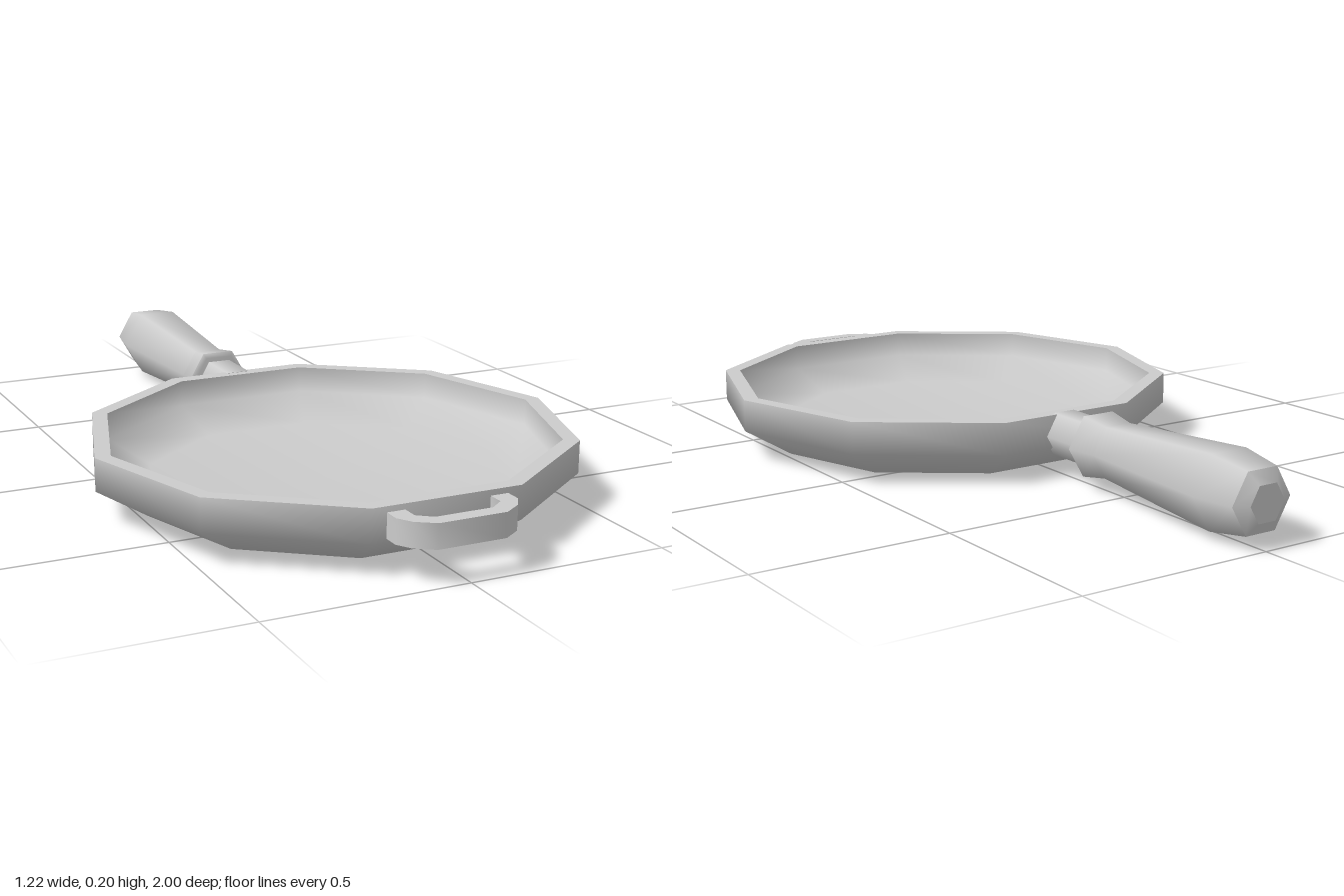
import * as THREE from 'three';
import { mergeGeometries, toCreasedNormals } from 'three/addons/utils/BufferGeometryUtils.js';

const material = new THREE.MeshStandardMaterial({ color: 0xcccccc });

// Faceted turned body: each profile is smooth within itself, with a sharp edge to the next one
function turned(name, sides, profiles) {
  const bands = profiles.map((profile) => new THREE.LatheGeometry(
    profile.map(([r, y]) => new THREE.Vector2(r, y)), sides, Math.PI / 2));
  const mesh = new THREE.Mesh(mergeGeometries(bands), material);
  mesh.name = name;
  return mesh;
}

export function createModel() {
  const model = new THREE.Group();
  model.name = 'fryingPan';

  // Ten-sided pan: outside, flat rim, inside
  const pan = turned('pan', 10, [
    [[0, 0], [0.48, 0], [0.61, 0.08], [0.61, 0.163]],
    [[0.61, 0.163], [0.57, 0.163]],
    [[0.57, 0.163], [0.57, 0.095], [0.46, 0.035], [0, 0.035]],
  ]);
  pan.position.z = 0.315;
  model.add(pan);

  // Six-sided handle at the back; profile height runs along -z
  const handle = new THREE.Group();
  handle.name = 'handle';
  handle.rotation.x = -Math.PI / 2;
  handle.position.y = 0.11;
  handle.add(turned('handleStem', 6, [
    [[0, 0.25], [0.062, 0.25]],
    [[0.062, 0.25], [0.062, 0.4]],
  ]));
  handle.add(turned('handleGrip', 6, [
    [[0, 0.383], [0.075, 0.383], [0.088, 0.392]],
    [[0.088, 0.392], [0.074, 0.47]],
    [[0.074, 0.47], [0.103, 0.87], [0.085, 0.98]],
    [[0.085, 0.98], [0.05, 1.0]],
    [[0.05, 1.0], [0, 1.0]],
  ]));
  model.add(handle);

  // Small flat loop at the front, drawn as (x, z) and mirrored
  const outer = [[0.152, 0.88], [0.152, 0.935], [0.13, 0.97], [0.085, 1.0]];
  const inner = [[0.072, 0.962], [0.107, 0.935], [0.107, 0.88]];
  const mirror = (points) => points.map(([x, z]) => [-x, z]).reverse();
  const outline = [...outer, ...mirror(outer), ...mirror(inner), ...inner];
  const shape = new THREE.Shape(outline.map(([x, z]) => new THREE.Vector2(x, z)));
  const loopGeometry = new THREE.ExtrudeGeometry(shape, { depth: 0.06, bevelEnabled: false });
  loopGeometry.rotateX(Math.PI / 2).translate(0, 0.149, 0);
  const loop = new THREE.Mesh(toCreasedNormals(loopGeometry, 1), material);
  loop.name = 'frontLoop';
  model.add(loop);

  return model;
}
